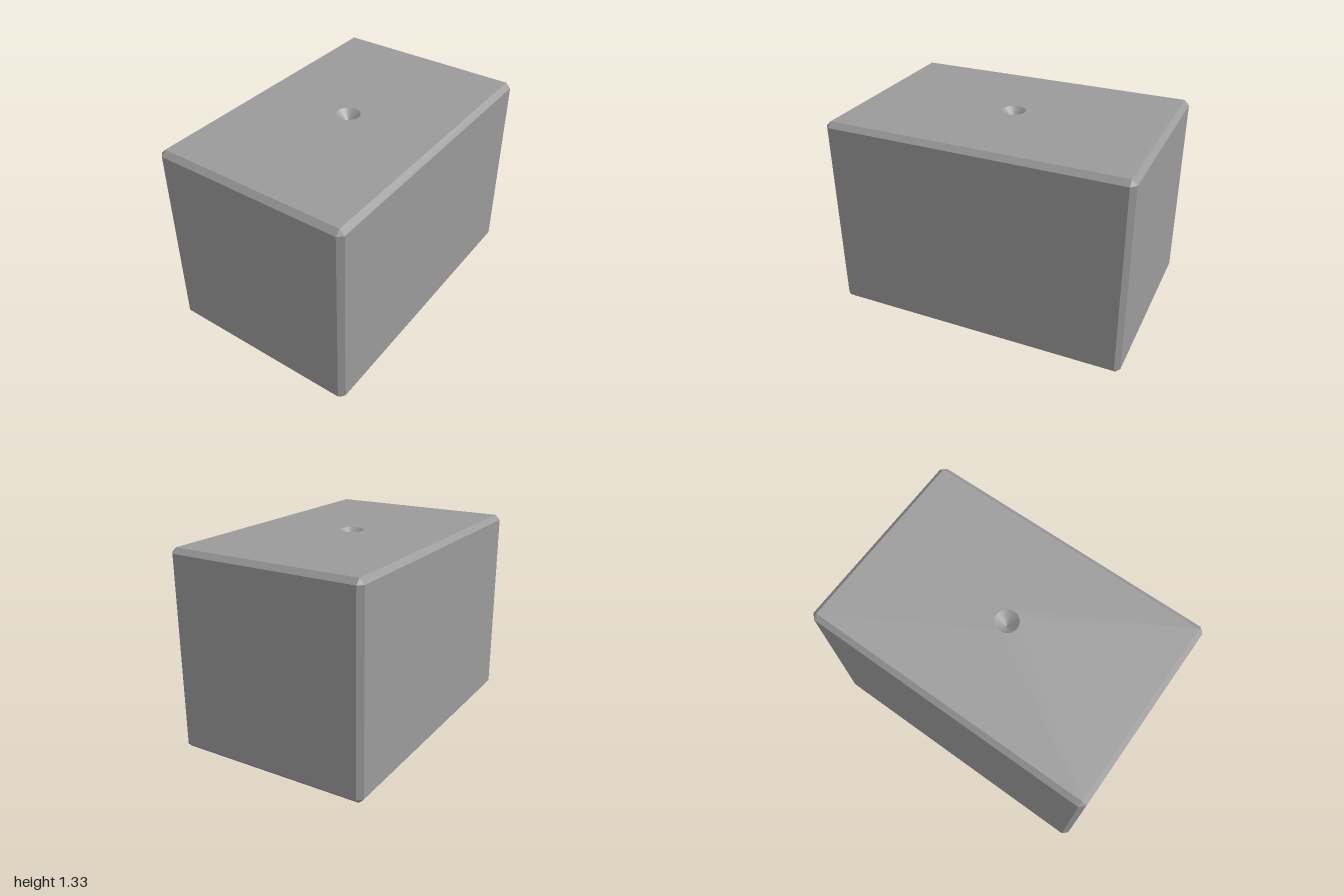
import * as THREE from 'three';

const X = 0.667, Z = 1, H = 1.333, C = 0.033; // half width, half depth, height, chamfer
const PIT = 0.176, PIT_FLOOR = 0.05, PIT_DEPTH = 0.13, PITCH = 0.667;
const DIMPLE = 0.078, DIMPLE_DEPTH = 0.07;
const COLOR = 0x9b9b9b;

const material = () => new THREE.MeshStandardMaterial({ color: COLOR, flatShading: true });

function add(group, name, geometry, mat = material()) {
  const mesh = new THREE.Mesh(geometry, mat);
  mesh.name = name;
  group.add(mesh);
}

// Joins closed rings of [x, y, z] points with flat quads.
function loft(rings) {
  const pos = [];
  for (let r = 0; r < rings.length - 1; r++) {
    const lo = rings[r], hi = rings[r + 1], n = lo.length;
    for (let i = 0; i < n; i++) {
      const j = (i + 1) % n;
      pos.push(...lo[i], ...lo[j], ...hi[j], ...lo[i], ...hi[j], ...hi[i]);
    }
  }
  const g = new THREE.BufferGeometry();
  g.setAttribute('position', new THREE.Float32BufferAttribute(pos, 3));
  g.computeVertexNormals();
  return g;
}

// Rectangle with cut corners, counterclockwise from above; c = 0 doubles the corners.
function ring(x, z, c, y) {
  return [[x, z - c], [x - c, z], [c - x, z], [-x, z - c], [-x, c - z], [c - x, -z], [x - c, -z], [x, c - z]]
    .map(([px, s]) => [px, y, -s]);
}

function square(half, y, cx, cz) {
  return [[1, -1], [1, 1], [-1, 1], [-1, -1]].map(([a, b]) => [cx + a * half, y, cz - b * half]);
}

const rectangle = (x, z) => new THREE.Shape([[-x, -z], [x, -z], [x, z], [-x, z]]
  .map(([a, b]) => new THREE.Vector2(a, b)));

export function createModel() {
  const model = new THREE.Group();
  model.name = 'block';

  // Chamfered sides
  add(model, 'blockSides', loft([
    ring(X - C, Z - C, 0, 0), ring(X, Z, C, C), ring(X, Z, C, H - C), ring(X - C, Z - C, 0, H),
  ]));

  // Top face with a round opening
  const top = rectangle(X - C, Z - C);
  top.holes.push(new THREE.Path().absarc(0, 0, DIMPLE, 0, Math.PI * 2, true));
  add(model, 'topFace', new THREE.ShapeGeometry(top, 16).rotateX(-Math.PI / 2).translate(0, H, 0));

  // Conical dimple
  add(model, 'topDimple',
    new THREE.CylinderGeometry(DIMPLE, 0, DIMPLE_DEPTH, 32, 1, true).translate(0, H - DIMPLE_DEPTH / 2, 0),
    new THREE.MeshStandardMaterial({ color: COLOR, side: THREE.DoubleSide }));

  // Underside with two columns of three tapered pits
  const bottom = rectangle(X - C, Z - C);
  for (const cx of [-PITCH / 2, PITCH / 2]) {
    for (const cz of [-PITCH, 0, PITCH]) {
      bottom.holes.push(new THREE.Path(square(PIT, 0, cx, cz).map(p => new THREE.Vector2(p[0], p[2]))));
      add(model, 'pitWalls', loft([square(PIT_FLOOR, PIT_DEPTH, cx, cz), square(PIT, 0, cx, cz)]));
      add(model, 'pitFloor', new THREE.PlaneGeometry(PIT_FLOOR * 2, PIT_FLOOR * 2)
        .rotateX(Math.PI / 2).translate(cx, PIT_DEPTH, cz));
    }
  }
  add(model, 'underside', new THREE.ShapeGeometry(bottom).rotateX(Math.PI / 2));
  return model;
}
